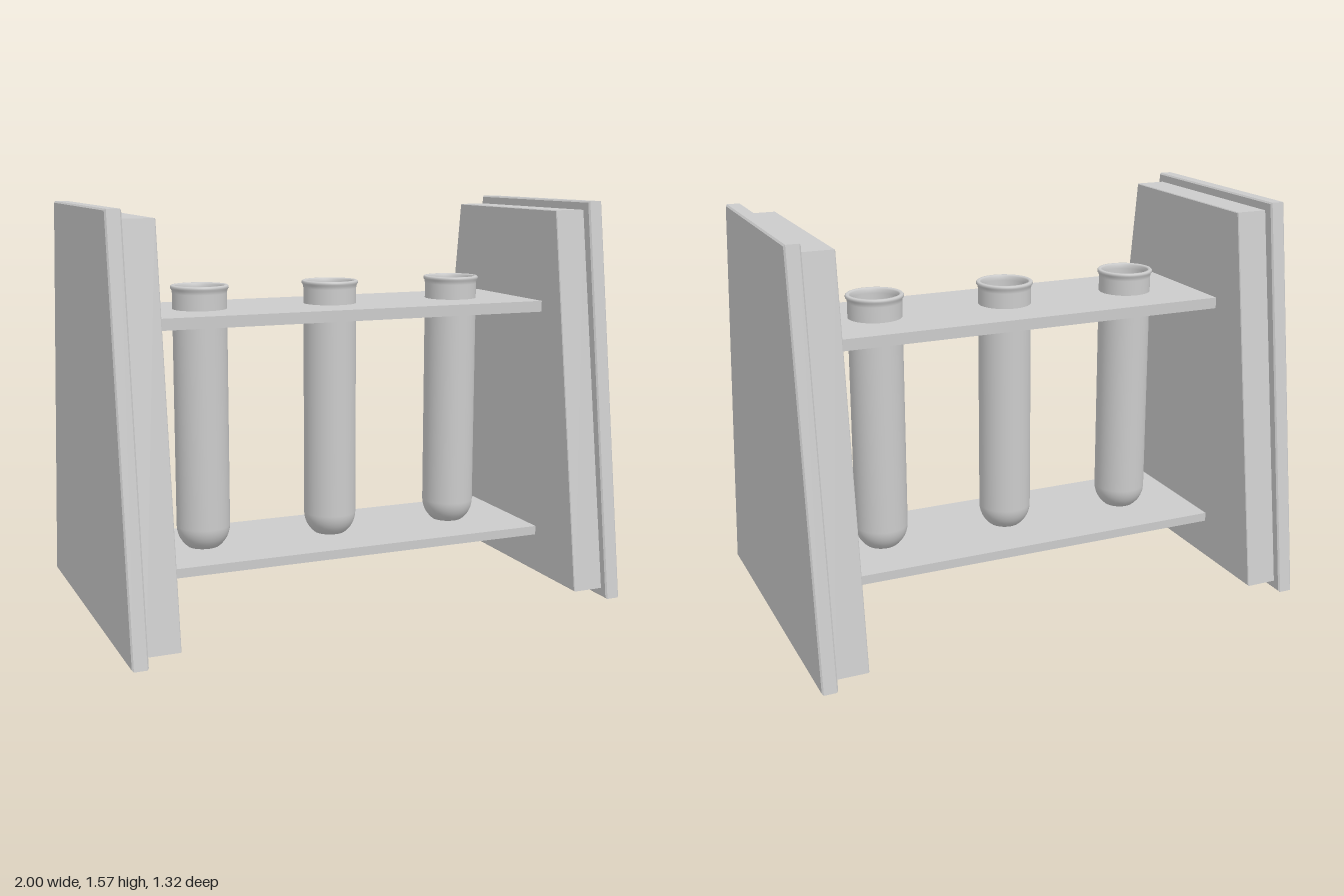
import * as THREE from 'three';

const material = new THREE.MeshStandardMaterial({ color: 0xcccccc });
const TUBE_X = [-0.54, 0, 0.54];
const TUBE_Z = 0.018;

function addMesh(parent, geometry, name) {
  const mesh = new THREE.Mesh(geometry, material);
  mesh.name = name;
  parent.add(mesh);
  return mesh;
}

// Tapered board in the z-y plane, filling x0..x1, with finely bevelled edges
function taperedBoard(x0, x1, y0, y1, halfBottom, halfTop, bevel) {
  const shape = new THREE.Shape([
    new THREE.Vector2(-halfBottom, y0), new THREE.Vector2(halfBottom, y0),
    new THREE.Vector2(halfTop, y1), new THREE.Vector2(-halfTop, y1),
  ]);
  const geometry = new THREE.ExtrudeGeometry(shape, {
    depth: x1 - x0 - 2 * bevel, bevelEnabled: true, bevelSegments: 1,
    bevelThickness: bevel, bevelSize: bevel, bevelOffset: -bevel,
  });
  geometry.rotateY(-Math.PI / 2);
  return geometry.translate(x1 - bevel, 0, 0);
}

// End panel: large outer board with a smaller inner board
function endPanel(name) {
  const panel = new THREE.Group();
  panel.name = name;
  addMesh(panel, taperedBoard(0.94, 1, 0, 1.565, 0.646, 0.428, 0.006), 'outerBoard').position.z = -0.016;
  addMesh(panel, taperedBoard(0.815, 0.945, 0.035, 1.53, 0.612, 0.395, 0.003), 'innerBoard').position.z = -0.021;
  return panel;
}

// Upper shelf with a round hole for each tube
function holedShelf() {
  const w = 0.82, d = 0.268;
  const shape = new THREE.Shape([
    new THREE.Vector2(-w, -d), new THREE.Vector2(w, -d),
    new THREE.Vector2(w, d), new THREE.Vector2(-w, d),
  ]);
  for (const x of TUBE_X) {
    shape.holes.push(new THREE.Path().absarc(x, 0, 0.104, 0, Math.PI * 2, true));
  }
  const geometry = new THREE.ExtrudeGeometry(shape, { depth: 0.044, bevelEnabled: false, curveSegments: 32 });
  return geometry.rotateX(-Math.PI / 2);
}

// Hollow round-bottomed tube with a small rolled lip
function tubeGeometry() {
  const outer = 0.105, inner = 0.092, bottom = 0.205, steps = 10;
  const centre = bottom + outer;
  const arc = (r, t) => new THREE.Vector2(r * Math.sin(t), centre - r * Math.cos(t));
  const points = [];
  for (let i = 0; i <= steps; i++) points.push(arc(outer, (i / steps) * Math.PI / 2));
  points.push(
    new THREE.Vector2(outer, 1.225), new THREE.Vector2(0.107, 1.238),
    new THREE.Vector2(0.112, 1.244), new THREE.Vector2(0.112, 1.252),
    new THREE.Vector2(0.108, 1.256), new THREE.Vector2(0.098, 1.256),
    new THREE.Vector2(0.094, 1.25), new THREE.Vector2(inner, 1.235),
  );
  for (let i = steps; i >= 0; i--) points.push(arc(inner, (i / steps) * Math.PI / 2));
  return new THREE.LatheGeometry(points, 40);
}

export function createModel() {
  const model = new THREE.Group();
  model.name = 'tubeRack';

  // The two end panels are the same part, turned half a revolution
  model.add(endPanel('leftPanel'));
  const rightPanel = endPanel('rightPanel');
  rightPanel.rotation.y = Math.PI;
  model.add(rightPanel);

  // Shelves between the panels
  addMesh(model, holedShelf(), 'upperShelf').position.set(0, 1.121, TUBE_Z);
  addMesh(model, new THREE.BoxGeometry(1.64, 0.036, 0.536), 'lowerShelf').position.set(0, 0.208, TUBE_Z);

  // Row of tubes
  const tube = tubeGeometry();
  TUBE_X.forEach((x, i) => addMesh(model, tube, `tube${i + 1}`).position.set(x, 0, TUBE_Z));

  return model;
}
